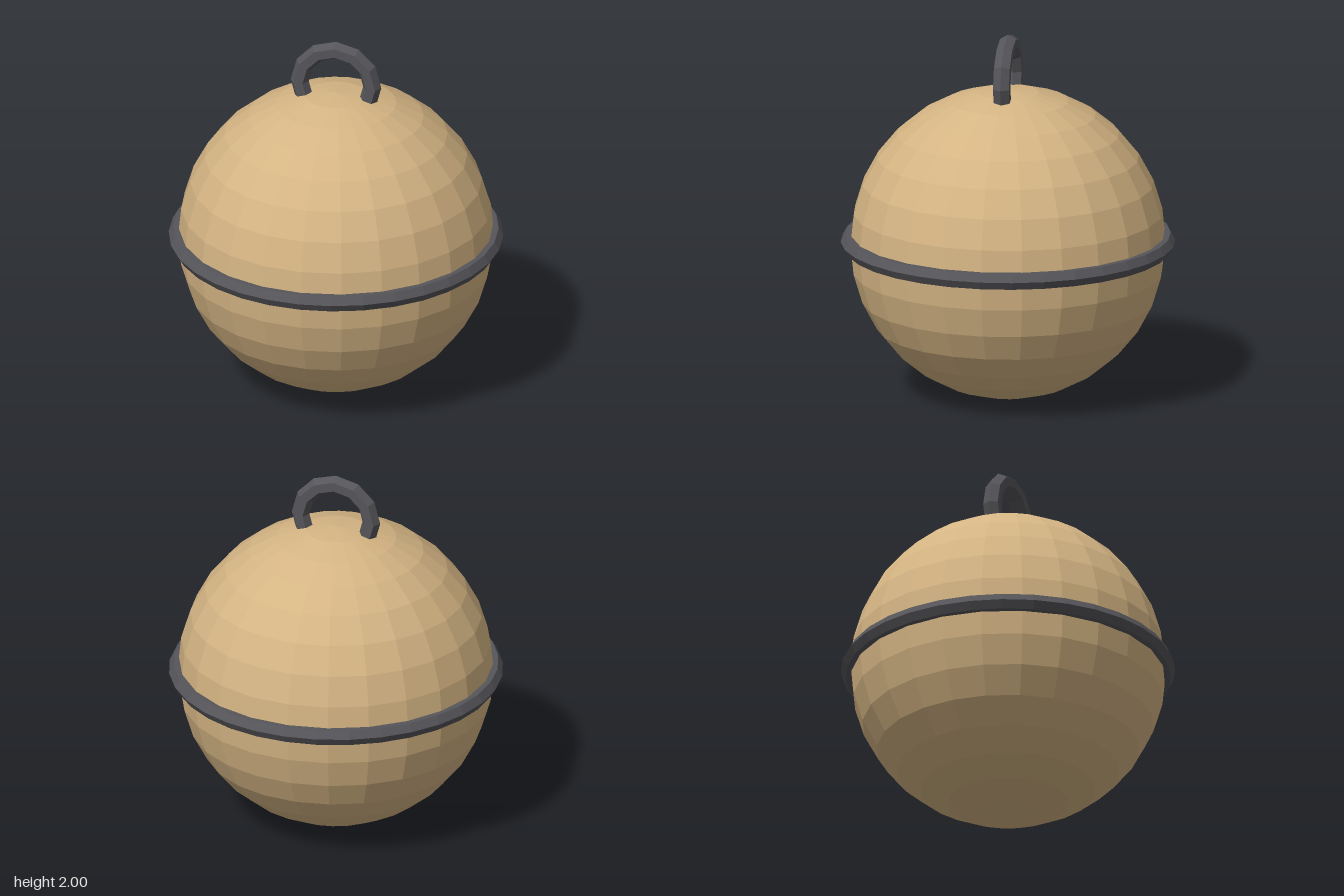
import * as THREE from 'three';

export function createModel() {
  const model = new THREE.Group();
  model.name = 'bellOrnament';

  const tan = new THREE.MeshStandardMaterial({ name: 'tan', color: 0xd4b483, flatShading: true });
  const darkGrey = new THREE.MeshStandardMaterial({ name: 'darkGrey', color: 0x55555a, flatShading: true });

  const addPart = (name, geometry, material, y) => {
    const mesh = new THREE.Mesh(geometry, material);
    mesh.name = name;
    mesh.position.y = y;
    model.add(mesh);
  };

  // Faceted round body
  addPart('body', new THREE.SphereGeometry(0.85, 24, 16), tan, 0.85);

  // Six-sided band around the middle
  const band = new THREE.TorusGeometry(0.85, 0.05, 6, 32).rotateX(Math.PI / 2);
  addPart('band', band, darkGrey, 0.855);

  // Hanging loop, its lower half sunk into the body
  addPart('hangingLoop', new THREE.TorusGeometry(0.2, 0.05, 6, 12), darkGrey, 1.75);

  return model;
}
